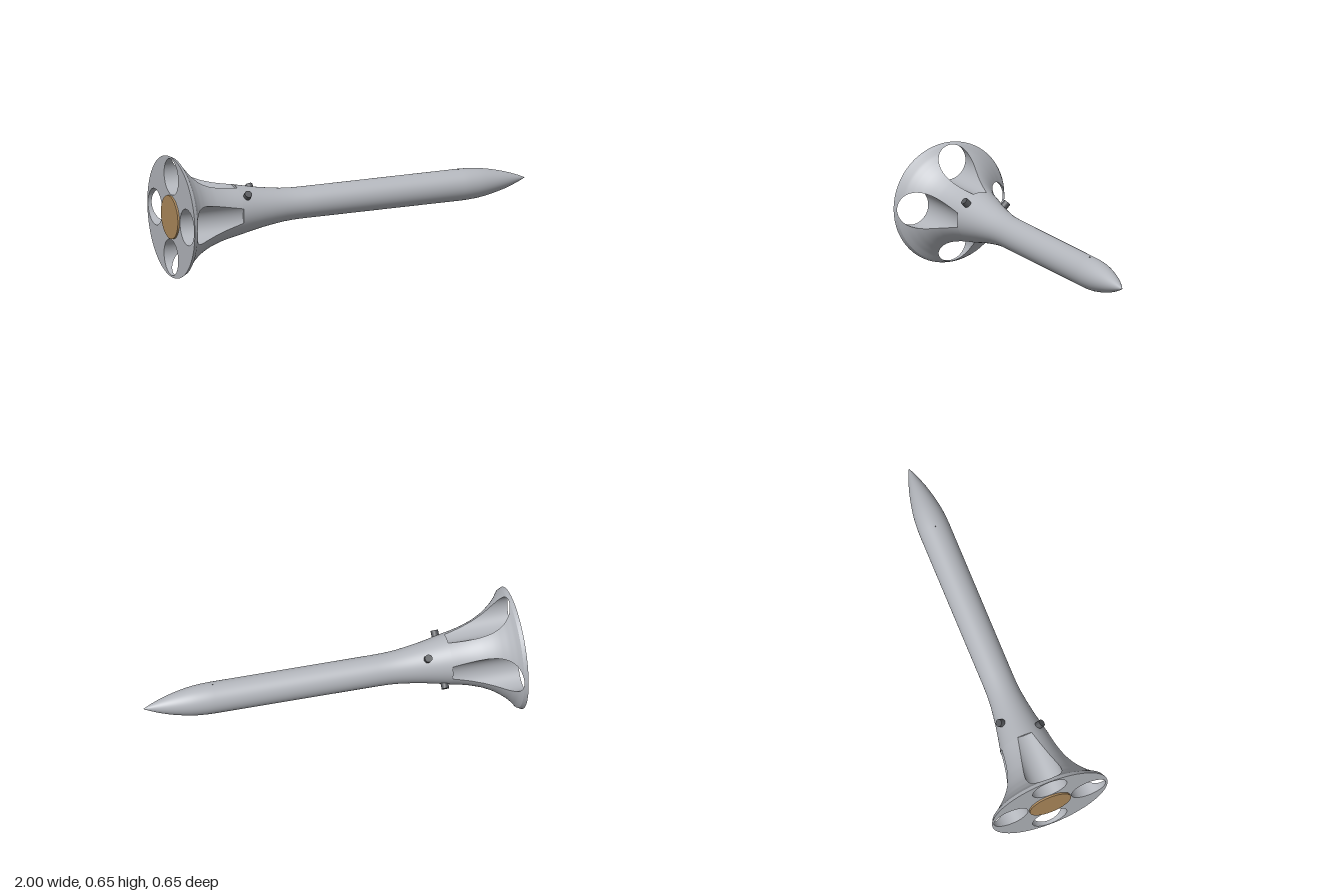
import * as THREE from 'three';

const AXIS_Y = 0.323;               // height of the long axis
const RIM = 0.323, BACK = -0.99;    // flare rim radius, rear plane
const D = 0.217, H = 0.096;         // bore distance from axis, bore radius
const STEP_X = -0.635, STEP_R = 0.135; // where the bores end

// flare outline as [x, radius], rear to front
const flare = [[-0.99, 0.323], [-0.97, 0.313], [-0.95, 0.285], [-0.92, 0.254], [-0.88, 0.222],
  [-0.85, 0.203], [-0.8, 0.178], [-0.74, 0.158], [-0.69, 0.145], [STEP_X, STEP_R]];

// axial position of the flare at a given radius
function flareX(r) {
  for (let i = 1; i < flare.length; i++) {
    const [x0, r0] = flare[i - 1], [x1, r1] = flare[i];
    if (r >= r1) return x0 + (x1 - x0) * (r0 - r) / (r0 - r1);
  }
  return STEP_X;
}

// surface through rows of [x, y, z] points
function grid(rows) {
  const n = rows[0].length, index = [];
  for (let i = 0; i < rows.length - 1; i++) {
    for (let j = 0; j < n - 1; j++) {
      const a = i * n + j, c = a + n;
      index.push(a, a + 1, c, a + 1, c + 1, c);
    }
  }
  const g = new THREE.BufferGeometry();
  g.setAttribute('position', new THREE.Float32BufferAttribute(rows.flat(2), 3));
  g.setIndex(index);
  g.computeVertexNormals();
  return g;
}

export function createModel() {
  const hull = new THREE.MeshStandardMaterial({ color: 0xb4b7bd, side: THREE.DoubleSide });
  hull.name = 'hull grey';
  const dark = new THREE.MeshStandardMaterial({ color: 0x55575b });
  dark.name = 'thruster dark grey';
  const brown = new THREE.MeshStandardMaterial({ color: 0xae8a5c });
  brown.name = 'heat shield brown';

  const model = new THREE.Group();
  model.name = 'rocket';
  const body = new THREE.Group();
  body.name = 'body';
  body.position.y = AXIS_Y;
  model.add(body);

  const add = (geometry, material, name, parent = body) => {
    const m = new THREE.Mesh(geometry, material);
    m.name = name;
    parent.add(m);
    return m;
  };

  // fuselage and pointed nose
  const profile = [[STEP_X, STEP_R], [-0.57, 0.121], [-0.5, 0.107], [-0.43, 0.096], [-0.37, 0.088],
    [-0.31, 0.084], [-0.25, 0.083], [0.63, 0.083], [0.67, 0.082], [0.72, 0.0785], [0.76, 0.073],
    [0.8, 0.0655], [0.84, 0.0565], [0.88, 0.046], [0.92, 0.033], [0.96, 0.018], [0.99, 0.005], [1, 0]];
  const tube = new THREE.LatheGeometry(profile.map(([x, r]) => new THREE.Vector2(r, x)), 64);
  add(tube.rotateZ(-Math.PI / 2), hull, 'fuselage');

  // sample angles round one bore, zero pointing to the axis
  const K = 28;
  const phi0 = Math.acos((D * D + H * H - STEP_R * STEP_R) / (2 * D * H));
  const outer = Array.from({ length: K + 1 }, (_, k) => phi0 + (Math.PI - phi0) * k / K);
  const inner = Array.from({ length: 9 }, (_, k) => phi0 * (k / 4 - 1));
  const all = [...outer.slice(1).reverse().map(p => -p), ...inner, ...outer.slice(1)];
  const bore = p => {
    const y = D - H * Math.cos(p), z = H * Math.sin(p);
    return { y, z, r: Math.hypot(y, z), a: Math.atan2(z, y) };
  };

  // flare skin between two bores
  const N = 16;
  const arc = (x, r, a) => Array.from({ length: N + 1 }, (_, j) => {
    const t = a + (Math.PI / 2 - 2 * a) * j / N;
    return [x, r * Math.cos(t), r * Math.sin(t)];
  });
  const skin = grid([arc(BACK, RIM, 0), ...outer.slice().reverse().map(p => {
    const b = bore(p);
    return arc(flareX(b.r), b.r, Math.max(0, b.a));
  })]);

  // bore wall, trimmed by the flare
  const wall = grid([
    all.map(p => [BACK, bore(p).y, bore(p).z]),
    all.map(p => [flareX(bore(p).r), bore(p).y, bore(p).z]),
  ]);

  // flat end of the bore
  const end = grid([
    inner.map(p => [STEP_X, bore(p).y, bore(p).z]),
    inner.map(p => [STEP_X, STEP_R * Math.cos(bore(p).a), STEP_R * Math.sin(bore(p).a)]),
  ]);

  for (let q = 0; q < 4; q++) {
    const quarter = new THREE.Group();
    quarter.name = 'flareQuarter';
    quarter.rotation.x = q * Math.PI / 2;
    body.add(quarter);
    add(skin, hull, 'flareSkin', quarter);
    add(wall, hull, 'boreWall', quarter);
    add(end, hull, 'boreEnd', quarter);
  }

  // rear plate with four openings
  const plate = new THREE.Shape().absarc(0, 0, RIM, 0, Math.PI * 2);
  for (let q = 0; q < 4; q++) {
    const t = q * Math.PI / 2;
    plate.holes.push(new THREE.Path().absarc(D * Math.cos(t), D * Math.sin(t), H, 0, Math.PI * 2, true));
  }
  const rear = add(new THREE.ShapeGeometry(plate, 32), hull, 'rearPlate');
  rear.rotation.y = -Math.PI / 2;
  rear.position.x = BACK;

  // brown disc at the centre of the rear
  const disc = add(new THREE.CylinderGeometry(0.115, 0.115, 0.01, 48), brown, 'heatShield');
  disc.rotation.z = Math.PI / 2;
  disc.position.x = -0.995;

  // stubby radial thrusters: axial position, mid radius, angle from up towards +z
  for (const [x, r, deg] of [[-0.6, 0.137, 45], [-0.513, 0.119, -45], [-0.6, 0.135, -135]]) {
    const t = THREE.MathUtils.degToRad(deg);
    const thruster = add(new THREE.CylinderGeometry(0.02, 0.02, 0.038, 20), dark, 'thruster');
    thruster.position.set(x, r * Math.cos(t), r * Math.sin(t));
    thruster.rotation.x = t;
  }

  // tiny pin on top behind the nose
  add(new THREE.CylinderGeometry(0.004, 0.004, 0.006, 10), dark, 'pin').position.set(0.625, 0.082, 0);

  return model;
}
